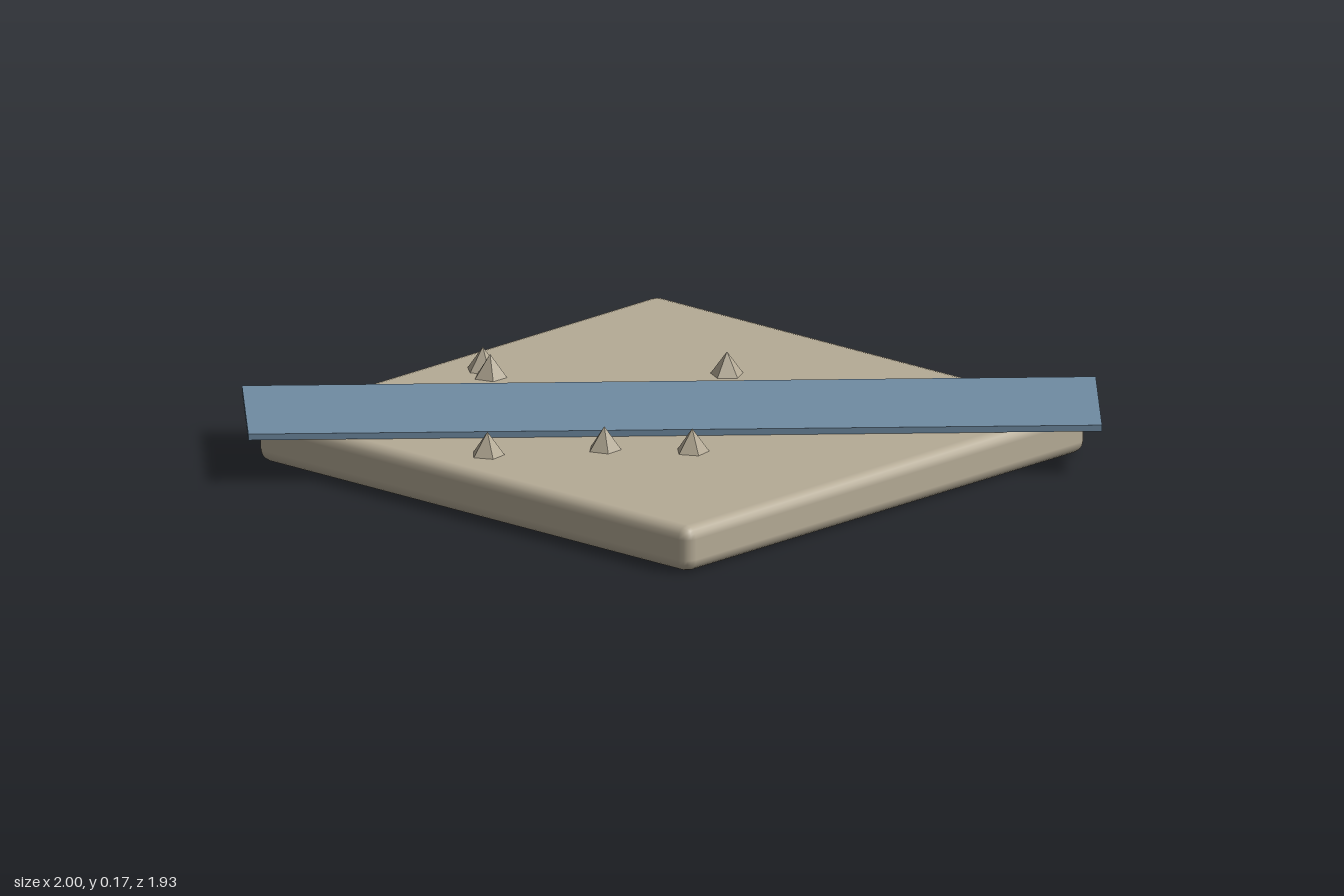
import * as THREE from 'three';
import { RoundedBoxGeometry } from 'three/addons/geometries/RoundedBoxGeometry.js';

const material = (name, color, flatShading = false) => {
  const m = new THREE.MeshStandardMaterial({ color, flatShading });
  m.name = name;
  return m;
};

export function createModel() {
  const group = new THREE.Group();
  group.name = 'riverTile';
  const stone = material('sandStone', 0xb5ab96);
  const water = material('waterBlue', 0x708ca3);

  const add = (name, geometry, mat, x, y, z, turn = 0) => {
    const mesh = new THREE.Mesh(geometry, mat);
    mesh.name = name;
    mesh.position.set(x, y, z);
    mesh.rotation.y = turn;
    group.add(mesh);
  };

  // square ground slab with rounded edges, turned to a diamond
  add('groundSlab', new RoundedBoxGeometry(1.38, 0.11, 1.38, 2, 0.03), stone, 0, 0.055, 0, Math.PI / 4);

  // straight river strip lying across the slab
  add('riverStrip', new THREE.BoxGeometry(2, 0.015, 0.4), water, 0, 0.1175, 0);

  // small five-sided pebbles on both banks: x, z, turn
  const pebble = new THREE.ConeGeometry(0.041, 0.057, 5).toNonIndexed();
  pebble.computeVertexNormals();
  [
    [-0.43, -0.36, 0.4],
    [-0.415, -0.3, 0.15],
    [0.14, -0.3, Math.PI],
    [-0.445, 0.34, 0.3],
    [-0.17, 0.305, 0.2],
    [0.035, 0.33, 0.35],
  ].forEach(([x, z, turn], i) => add(`pebble${i + 1}`, pebble, stone, x, 0.1375, z, turn));

  return group;
}
